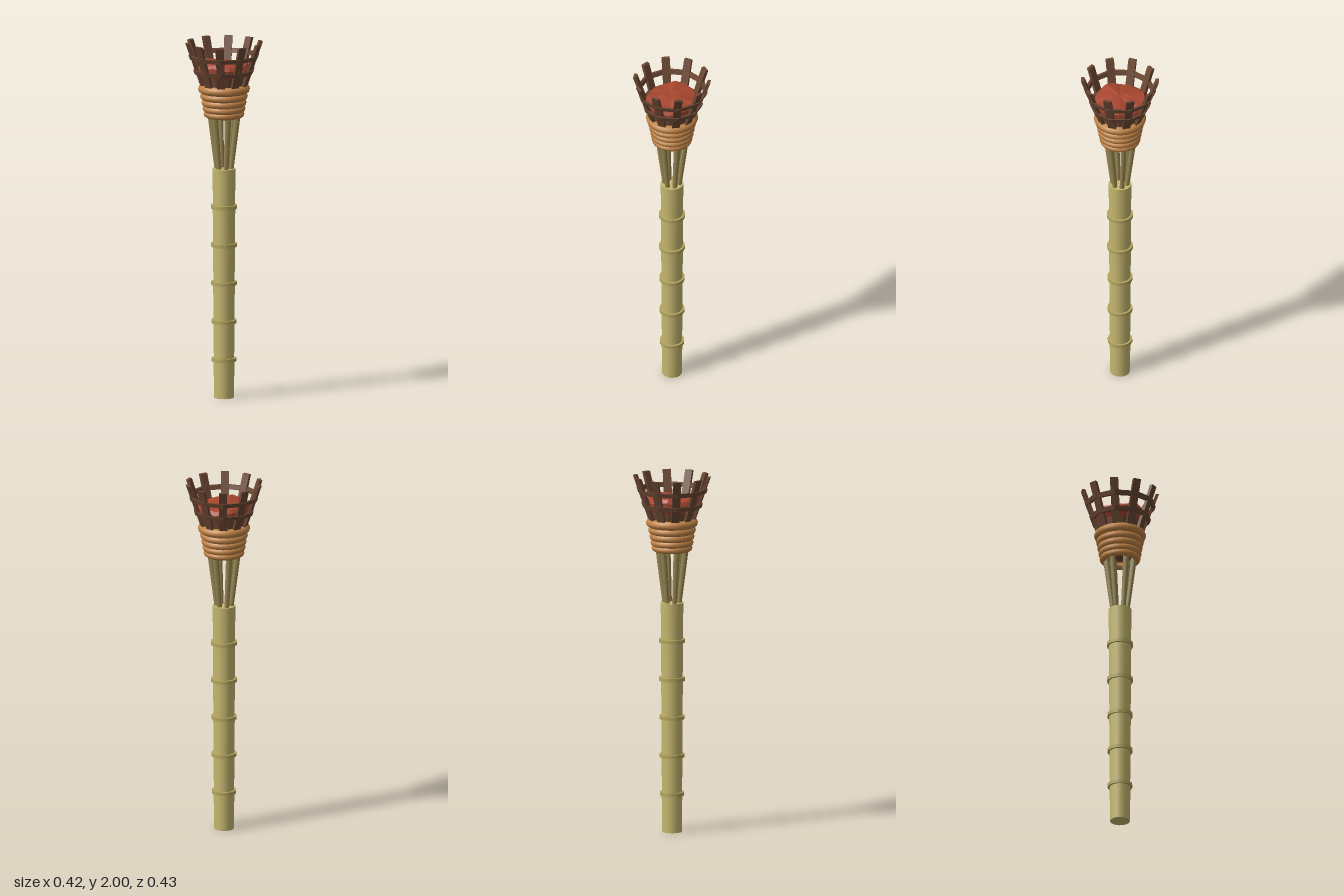
import * as THREE from 'three';

const mat = (name, color, flatShading = false) => {
  const m = new THREE.MeshStandardMaterial({ color, flatShading });
  m.name = name;
  return m;
};

export function createModel() {
  const bamboo = mat('bamboo', 0xc6b870);
  const node = mat('bamboo node', 0xb5a75f);
  const cane = mat('split cane', 0x988853);
  const rope = mat('rope', 0xc18446);
  const wood = mat('dark wood', 0x6b4733, true);
  const ember = mat('ember', 0xa8462f, true);

  const torch = new THREE.Group();
  torch.name = 'torch';
  const add = (name, geometry, material, parent = torch) => {
    const mesh = new THREE.Mesh(geometry, material);
    mesh.name = name;
    parent.add(mesh);
    return mesh;
  };

  // Pole: six bamboo segments with a thin node ring at every joint
  const step = 0.215;
  for (let i = 0; i < 6; i++) {
    const r = 0.055 + i * 0.0012;
    const segment = add('poleSegment', new THREE.CylinderGeometry(r + 0.003, r, step, 16), bamboo);
    segment.position.y = (i + 0.5) * step;
    if (i > 0) {
      const ring = add('poleNode', new THREE.CylinderGeometry(r + 0.012, r + 0.012, 0.02, 16), node);
      ring.position.y = i * step;
    }
  }

  // Six canes spreading from the pole up to the basket
  const up = new THREE.Vector3(0, 1, 0);
  for (let i = 0; i < 6; i++) {
    const a = (i / 6) * Math.PI * 2;
    const at = (r, y) => new THREE.Vector3(Math.sin(a) * r, y, Math.cos(a) * r);
    const from = at(0.036, 1.25), to = at(0.086, 1.68);
    const stick = add('cane', new THREE.CylinderGeometry(0.019, 0.013, from.distanceTo(to), 8), cane);
    stick.position.copy(from).lerp(to, 0.5);
    stick.quaternion.setFromUnitVectors(up, to.clone().sub(from).normalize());
  }

  // Rope coils: radius, tube, height
  for (const [r, tube, y] of [
    [0.119, 0.025, 1.739], [0.111, 0.021, 1.698], [0.104, 0.021, 1.662],
    [0.099, 0.02, 1.628], [0.094, 0.019, 1.597],
  ]) {
    const coil = add('ropeCoil', new THREE.TorusGeometry(r, tube, 10, 32), rope);
    coil.rotation.x = Math.PI / 2;
    coil.position.y = y;
  }

  // Basket bowl inside the rope
  const bowl = add('bowl', new THREE.CylinderGeometry(0.125, 0.082, 0.2, 20), wood);
  bowl.position.y = 1.72;

  // Ten slats leaning outward
  const slatGeometry = new THREE.BoxGeometry(0.044, 0.38, 0.018);
  const p = slatGeometry.attributes.position;
  for (let i = 0; i < p.count; i++) p.setZ(i, p.getZ(i) + 0.206 + (p.getY(i) - 0.19) * 0.35);
  slatGeometry.computeVertexNormals();
  for (let i = 0; i < 10; i++) {
    const slat = add('slat', slatGeometry, wood);
    slat.position.y = 1.81;
    slat.rotation.y = (i / 10) * Math.PI * 2;
  }

  // Two ten-sided hoops, leaning with the slats
  for (const [r, y] of [[0.196, 1.92], [0.169, 1.837]]) {
    const h = 0.012, t = 0.014, lean = 0.004;
    const profile = [
      [r - t - lean, -h], [r - lean, -h], [r + lean, h], [r - t + lean, h], [r - t - lean, -h],
    ].map(([x, v]) => new THREE.Vector2(x, v));
    add('hoop', new THREE.LatheGeometry(profile, 10), wood).position.y = y;
  }

  // Uneven ember heap
  const heap = [[0.118, 1.80], [0.143, 1.845], [0.145, 1.86], [0.135, 1.88], [0.09, 1.886], [0.045, 1.892], [0, 1.89]];
  const heapGeometry = new THREE.LatheGeometry(heap.map(([x, y]) => new THREE.Vector2(x, y)), 20);
  const q = heapGeometry.attributes.position;
  for (let i = 0; i < q.count; i++) {
    const x = q.getX(i), z = q.getZ(i), r = Math.hypot(x, z), a = Math.atan2(x, z);
    if (q.getY(i) > 1.85) q.setY(i, q.getY(i) + (r / 0.14) * (0.009 * Math.sin(3 * a + 0.6) + 0.005 * Math.sin(7 * a)));
  }
  heapGeometry.computeVertexNormals();
  add('emberHeap', heapGeometry, ember);

  return torch;
}
